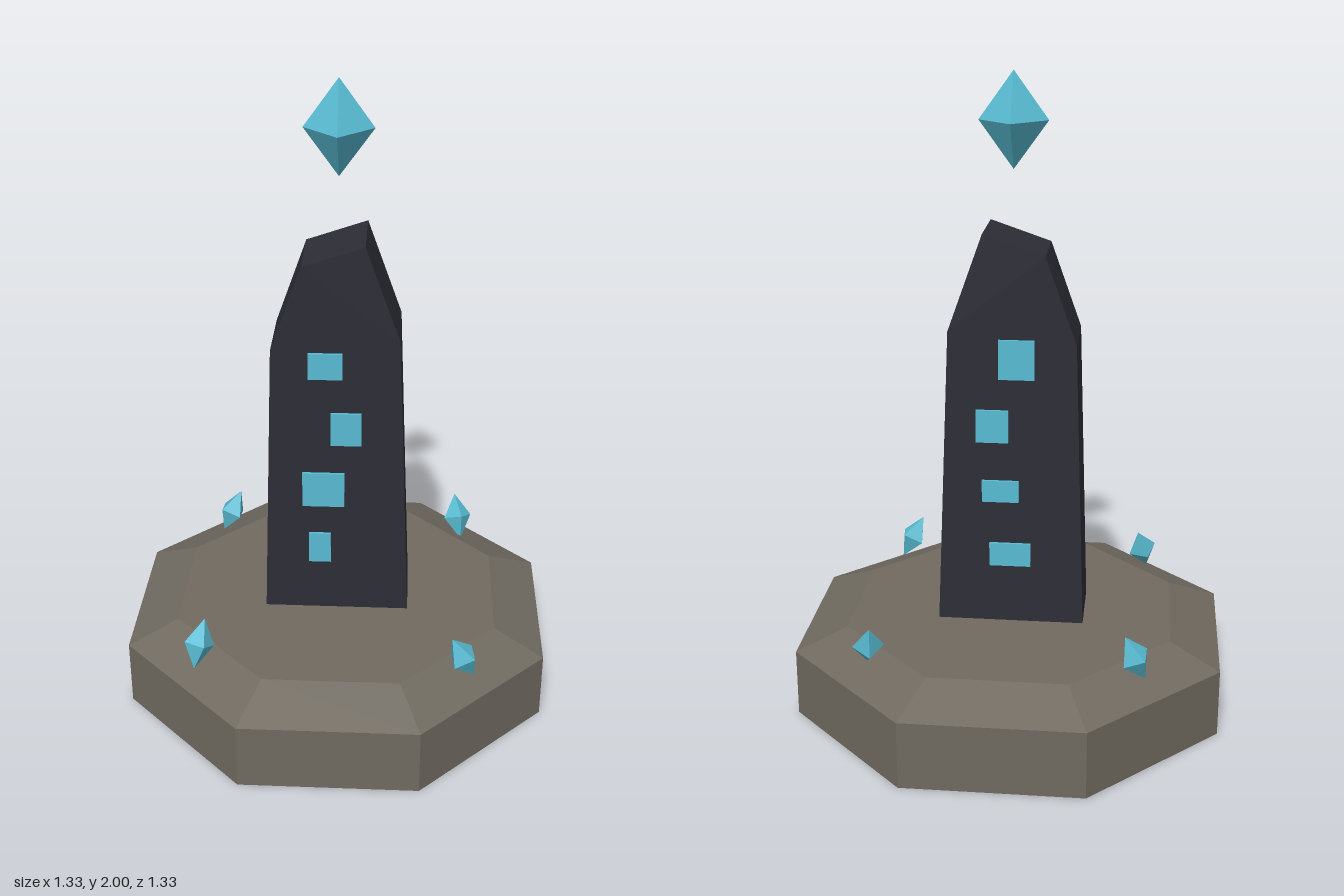
import * as THREE from 'three';

const stone = new THREE.MeshStandardMaterial({ color: 0x706a60 });
stone.name = 'stone';
const darkRock = new THREE.MeshStandardMaterial({ color: 0x2d2d37 });
darkRock.name = 'dark rock';
const crystal = new THREE.MeshStandardMaterial({ color: 0x58bbd2 });
crystal.name = 'crystal';

function add(parent, name, geometry, material) {
  const mesh = new THREE.Mesh(geometry, material);
  mesh.name = name;
  parent.add(mesh);
  return mesh;
}

// Octagonal plinth with a bevelled top edge
function plinthGeometry() {
  const profile = [[0, 0], [0.72, 0], [0.72, 0.215], [0.552, 0.28], [0, 0.28]]
    .map(([r, y]) => new THREE.Vector2(r, y));
  const geometry = new THREE.LatheGeometry(profile, 8, Math.PI / 8).toNonIndexed();
  geometry.computeVertexNormals();
  return geometry;
}

// Tapered slab with a crooked, chipped top
function monolithGeometry(halfDepth) {
  const outline = [
    [-0.233, 0.27], [0.23, 0.27], [0.19, 1.235],
    [0.083, 1.535], [-0.106, 1.47], [-0.202, 1.2],
  ].map(([x, y]) => new THREE.Vector2(x, y));
  return new THREE.ExtrudeGeometry(new THREE.Shape(outline), { depth: 2 * halfDepth, bevelEnabled: false })
    .translate(0, 0, -halfDepth);
}

export function createModel() {
  const model = new THREE.Group();
  model.name = 'crystalMonolith';
  const halfDepth = 0.117;

  add(model, 'plinth', plinthGeometry(), stone);
  add(model, 'monolith', monolithGeometry(halfDepth), darkRock);

  // Glowing plates on both faces: centre x, centre y, width, height
  const plates = {
    frontPlate: [
      [-0.036, 1.153, 0.105, 0.085], [0.028, 0.94, 0.095, 0.11],
      [-0.043, 0.725, 0.132, 0.118], [-0.055, 0.512, 0.07, 0.105],
    ],
    backPlate: [
      [-0.02, 1.152, 0.11, 0.124], [0.055, 0.938, 0.1, 0.104],
      [0.03, 0.725, 0.115, 0.07], [0, 0.512, 0.13, 0.076],
    ],
  };
  const thickness = 0.0098;
  for (const [name, list] of Object.entries(plates)) {
    const side = name === 'frontPlate' ? 1 : -1;
    for (const [x, y, w, h] of list) {
      const plate = add(model, name, new THREE.BoxGeometry(w, h, thickness), crystal);
      plate.position.set(x, y, side * (halfDepth + thickness / 2));
    }
  }

  // Large crystal floating over the monolith
  const gem = add(model, 'floatingCrystal', new THREE.OctahedronGeometry(1), crystal);
  gem.scale.set(0.105, 0.145, 0.105);
  gem.position.y = 1.855;

  // Small tilted shards on the plinth: x, z, lean in x, lean in z, spin
  const shards = [
    [-0.415, 0.395, 0.015, -0.03, 0.4],
    [0.403, 0.422, -0.035, 0.01, 0.9],
    [0.405, -0.405, -0.012, -0.035, 0.3],
    [-0.405, -0.405, 0.03, -0.01, 0.7],
  ];
  const up = new THREE.Vector3(0, 1, 0);
  for (const [x, z, leanX, leanZ, spin] of shards) {
    const shard = add(model, 'shard', new THREE.OctahedronGeometry(1), crystal);
    shard.scale.set(0.049, 0.081, 0.049);
    shard.position.set(x, 0.32, z);
    shard.quaternion.setFromUnitVectors(up, new THREE.Vector3(leanX, 0.07, leanZ).normalize());
    shard.rotateY(spin);
  }

  return model;
}
